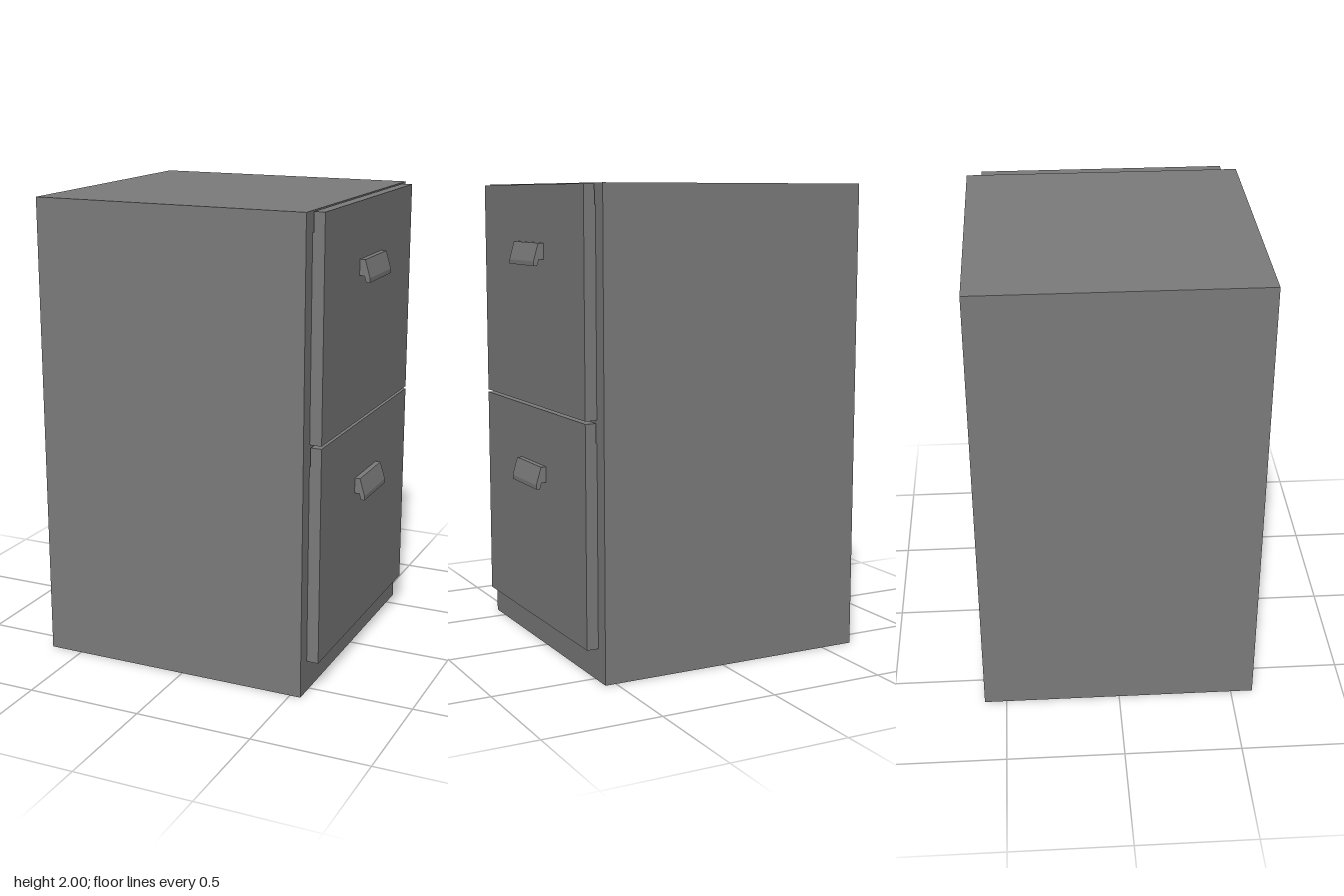
import * as THREE from 'three';

const material = new THREE.MeshStandardMaterial({ color: 0x7b7b7b, flatShading: true });

// Box given by its limits on each axis
function box(name, [x0, x1], [y0, y1], [z0, z1]) {
  const mesh = new THREE.Mesh(new THREE.BoxGeometry(x1 - x0, y1 - y0, z1 - z0), material);
  mesh.name = name;
  mesh.position.set((x0 + x1) / 2, (y0 + y1) / 2, (z0 + z1) / 2);
  return mesh;
}

// Sloped pull with a hanging finger lip, extruded across the drawer;
// profile heights are measured from the drawer's bottom edge
function handle() {
  const profile = [[0.595, 0.62], [0.619, 0.62], [0.627, 0.593], [0.643, 0.593],
    [0.643, 0.612], [0.621, 0.687], [0.595, 0.687]];
  const shape = new THREE.Shape(profile.map(([x, y]) => new THREE.Vector2(x, y)));
  const geometry = new THREE.ExtrudeGeometry(shape, { depth: 0.264, bevelEnabled: false });
  const mesh = new THREE.Mesh(geometry, material);
  mesh.name = 'handle';
  mesh.position.z = -0.132;
  return mesh;
}

// Drawer: front panel, the tray edge behind it and the pull
function drawer(name, bottom) {
  const group = new THREE.Group();
  group.name = name;
  group.position.y = bottom;
  group.add(
    box('drawerFront', [0.552, 0.598], [0, 0.925], [-0.531, 0.531]),
    box('drawerTray', [0.53, 0.56], [0.002, 0.845], [-0.53, 0.53]),
    handle(),
  );
  return group;
}

export function createModel() {
  const model = new THREE.Group();
  model.name = 'filingCabinet';
  model.add(box('cabinetBody', [-0.645, 0.547], [0, 2], [-0.596, 0.596]));

  // Two identical drawers, stacked
  const spacing = 0.936;
  ['lowerDrawer', 'upperDrawer'].forEach((name, i) => model.add(drawer(name, 0.135 + i * spacing)));
  return model;
}
